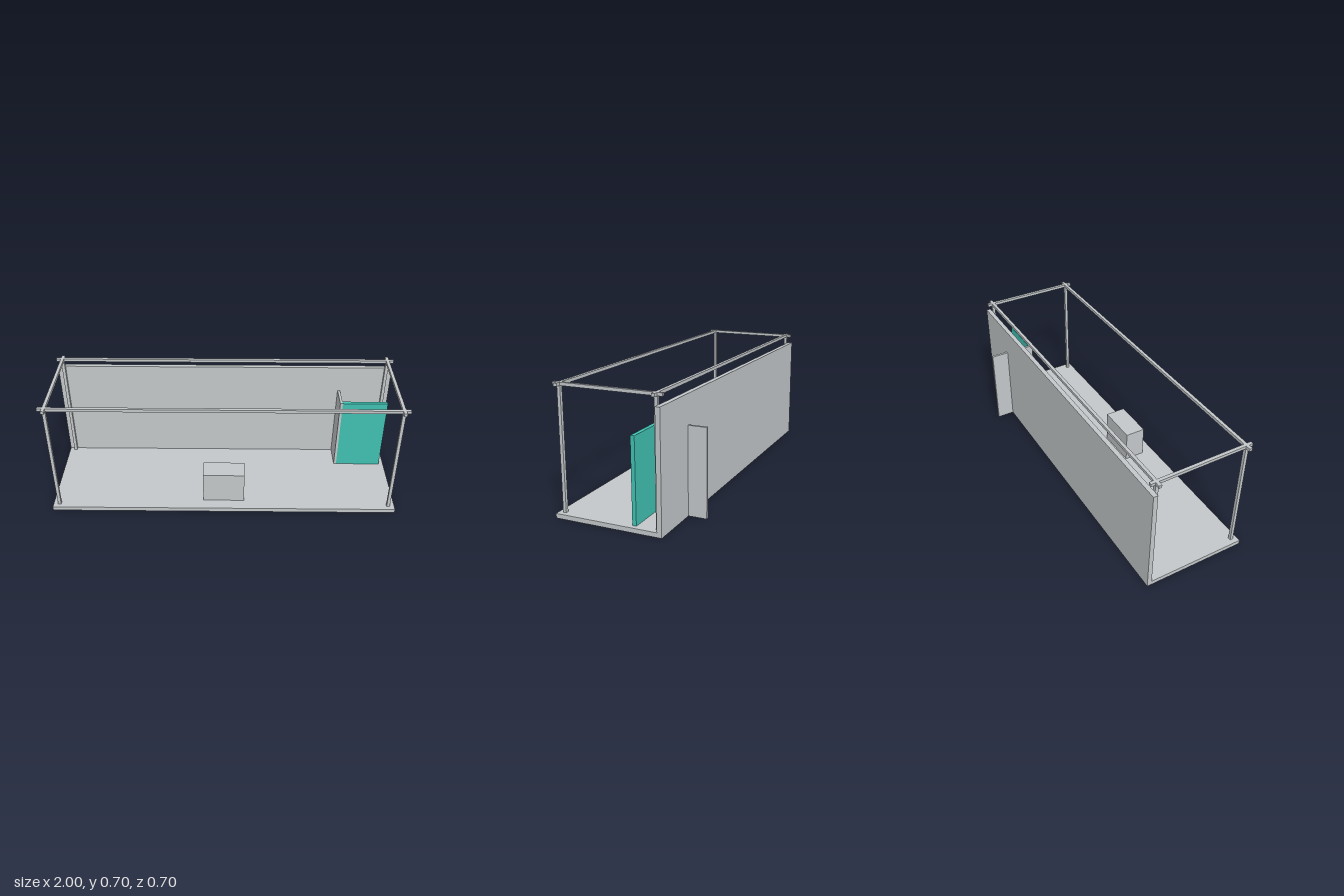
import * as THREE from 'three';

export function createModel() {
  const root = new THREE.Group();
  root.name = 'exhibitionStand';

  const grey = new THREE.MeshStandardMaterial({ name: 'light grey', color: 0xc4c8ca });
  const teal = new THREE.MeshStandardMaterial({ name: 'teal', color: 0x40c1b2 });

  // Box given by its lower and upper limits on each axis
  function box(name, [x0, x1], [y0, y1], [z0, z1], material = grey) {
    const mesh = new THREE.Mesh(new THREE.BoxGeometry(x1 - x0, y1 - y0, z1 - z0), material);
    mesh.position.set((x0 + x1) / 2, (y0 + y1) / 2, (z0 + z1) / 2);
    mesh.name = name;
    root.add(mesh);
  }

  const floorTop = 0.025, beamBottom = 0.683, top = 0.7;
  const back = -0.248, wallFront = -0.222, front = 0.35;

  // Platform and back wall
  box('floor', [-1, 1], [0, floorTop], [wallFront, front]);
  box('backWall', [-1, 1], [0, 0.64], [back, wallFront]);

  // Side partition passing through the wall, with the coloured panel at its end
  box('partition', [0.69, 0.705], [0.001, 0.48], [-0.35, -0.075]);
  box('colouredPanel', [0.705, 0.973], [0.001, 0.48], [-0.097, -0.075], teal);

  // Counter
  box('counter', [-0.12, 0.12], [floorTop, 0.213], [0.16, 0.28]);

  // Frame: crossing beams on four posts
  const rows = [['front', [0.307, 0.325]], ['back', [-0.222, -0.204]]];
  const columns = [['Right', [-0.973, -0.955]], ['Left', [0.955, 0.973]]];
  for (const [row, z] of rows) {
    box(row + 'Beam', [-1, 1], [beamBottom, top], z);
    for (const [side, x] of columns) box(row + side + 'Post', x, [floorTop, beamBottom], z);
  }
  for (const [side, x] of columns) box('side' + side + 'Beam', x, [beamBottom, top], [back, front]);

  return root;
}
